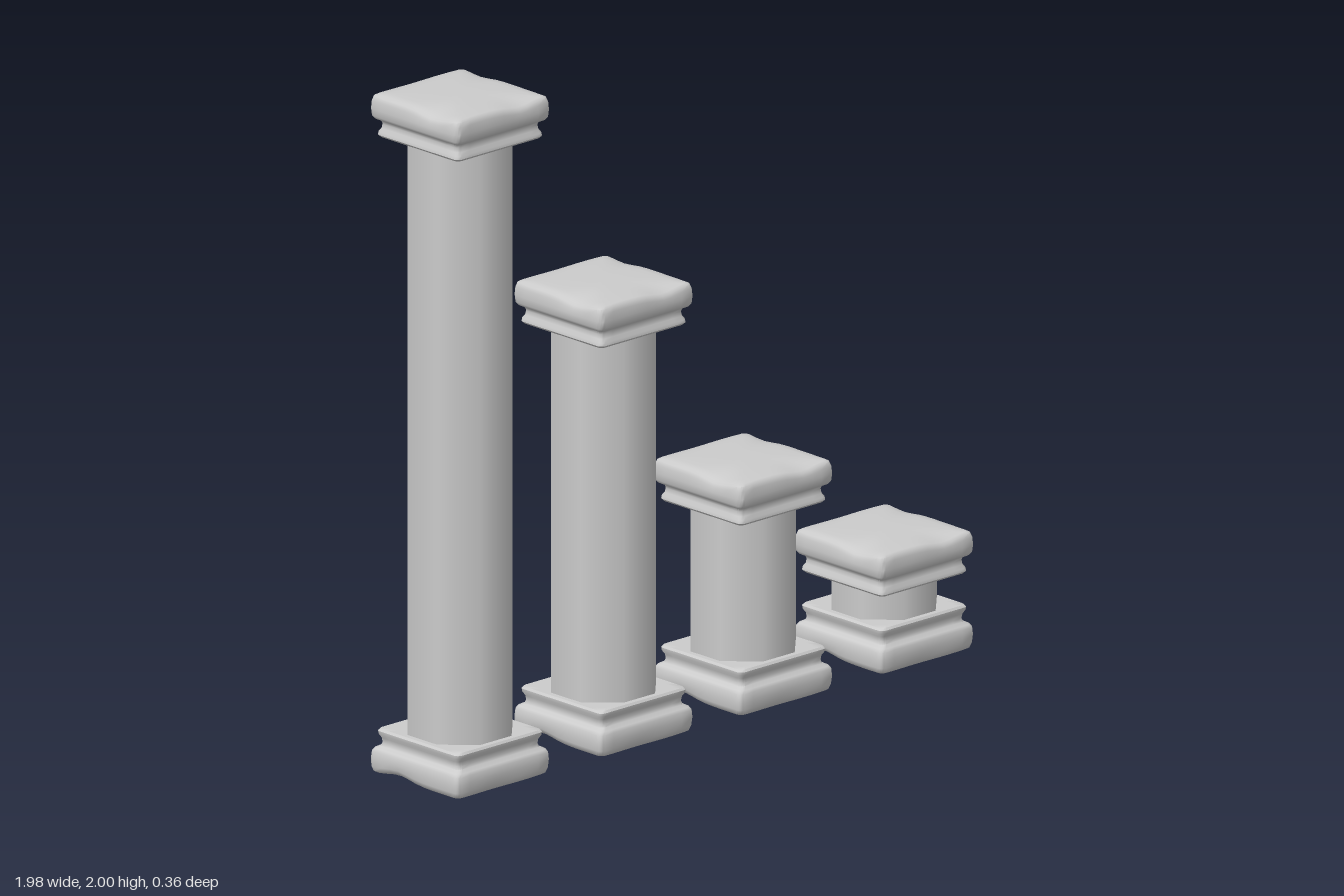
import * as THREE from 'three';
import { toCreasedNormals } from 'three/addons/utils/BufferGeometryUtils.js';

const material = new THREE.MeshStandardMaterial({ color: 0xcccccc });

// Square outline with rounded corners, counter-clockwise seen from above
function roundedSquare(half) {
  const r = Math.min(0.016, half * 0.3), c = half - r, points = [];
  for (let k = 0; k < 4; k++) {
    const corner = k * Math.PI / 2 + Math.PI / 4;
    const cx = Math.sign(Math.cos(corner)) * c, cz = Math.sign(Math.sin(corner)) * c;
    for (let i = 0; i <= 4; i++) {
      const a = k * Math.PI / 2 + i * Math.PI / 8;
      points.push([cx + r * Math.cos(a), cz - 0 + r * Math.sin(a)]);
    }
    // Points along the side, so that it can be worn
    const a = (k + 1) * Math.PI / 2, [sx, sz] = points[points.length - 1];
    for (let i = 1; i < 10; i++) {
      const d = 2 * c * i / 10;
      points.push([sx - Math.sin(a) * d, sz + Math.cos(a) * d]);
    }
  }
  // The fifth arc point of each corner lies a quarter turn on
  return points;
}

// Moulded slab with worn edges: [half width, y] rings, bottom to top, y = 0 at the top
function mouldingGeometry() {
  const profile = [
    [0.002, -0.128], [0.08, -0.128], [0.14, -0.128], [0.161, -0.128], [0.166, -0.122],
    [0.165, -0.113], [0.159, -0.103], [0.157, -0.09], [0.16, -0.081], [0.173, -0.074],
    [0.178, -0.066], [0.18, -0.045], [0.179, -0.022], [0.175, -0.009], [0.166, -0.004],
    [0.14, -0.002], [0.1, -0.001], [0.05, 0], [0.002, 0],
  ];
  const positions = [], index = [];
  let n = 0;
  profile.forEach(([half, y]) => {
    const ring = roundedSquare(half);
    n = ring.length;
    for (const [x, z] of ring) {
      // Top sags near the middle of two edges and chips slightly at the sides
      const top = THREE.MathUtils.smoothstep(y, -0.06, -0.005);
      const sag = 0.014 * Math.exp(-(((x + 0.18) / 0.05) ** 2) - ((z - 0.07) / 0.06) ** 2)
        + 0.014 * Math.exp(-(((z - 0.18) / 0.05) ** 2) - ((x - 0.07) / 0.06) ** 2)
        + 0.008 * Math.exp(-(((x - 0.18) / 0.04) ** 2) - ((z + 0.09) / 0.05) ** 2);
      const wear = 1 - 0.012 * top * (0.5 + 0.5 * Math.sin(x * 31 + z * 23));
      positions.push(x * wear, y - sag * top, z * wear);
    }
  });
  for (let j = 0; j < profile.length - 1; j++) {
    for (let i = 0; i < n; i++) {
      const a = j * n + i, b = j * n + (i + 1) % n;
      index.push(a, a + n, b, b, a + n, b + n);
    }
  }
  // Close the small central openings
  const last = (profile.length - 1) * n;
  for (let i = 1; i < n - 1; i++) {
    index.push(0, i, i + 1, last, last + i + 1, last + i);
  }
  const geometry = new THREE.BufferGeometry();
  geometry.setAttribute('position', new THREE.Float32BufferAttribute(positions, 3));
  geometry.setIndex(index);
  return toCreasedNormals(geometry, 0.8);
}

function addMesh(parent, name, geometry, y) {
  const mesh = new THREE.Mesh(geometry, material);
  mesh.name = name;
  mesh.position.y = y;
  parent.add(mesh);
  return mesh;
}

export function createModel() {
  const model = new THREE.Group();
  model.name = 'pillarSet';
  const moulding = mouldingGeometry();

  // Four pillars of the same section, falling in height from -x to +x
  const pillars = [[-0.815, 2], [-0.265, 1.33], [0.27, 0.69], [0.81, 0.36]];
  pillars.forEach(([x, height], i) => {
    const pillar = new THREE.Group();
    pillar.name = `pillar${i + 1}`;
    pillar.position.x = x;

    // Base is the capital turned upside down
    const base = addMesh(pillar, 'base', moulding, 0.005);
    base.rotation.x = Math.PI;
    base.scale.y = 1.05;
    addMesh(pillar, 'capital', moulding, height);

    // Softened octagonal shaft
    const bottom = 0.13, top = height - 0.12;
    const shaft = new THREE.CylinderGeometry(0.157, 0.157, top - bottom, 8, 1, true);
    shaft.rotateY(Math.PI / 8);
    addMesh(pillar, 'shaft', shaft, (top + bottom) / 2);
    model.add(pillar);
  });
  return model;
}
